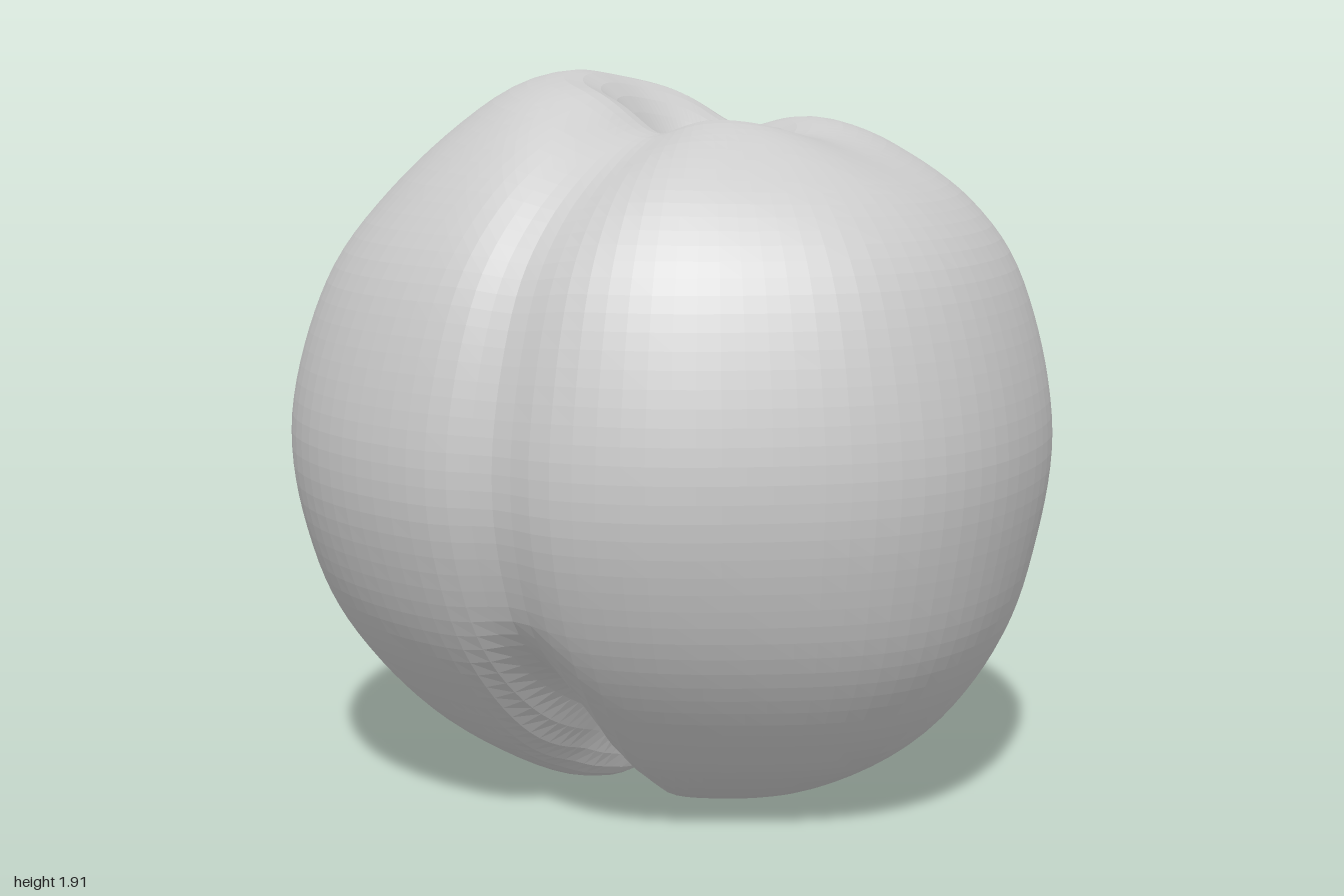
import * as THREE from 'three';

const { smoothstep } = THREE.MathUtils;
const SEGMENTS = 96, RINGS = 72;

// radius fraction and height, from the stem dimple over the rim to the base
const PROFILE = [
  [0, 1.58], [0.08, 1.6], [0.14, 1.7], [0.23, 1.8], [0.35, 1.83], [0.52, 1.77], [0.75, 1.59],
  [0.91, 1.36], [1, 1], [0.96, 0.65], [0.87, 0.4], [0.7, 0.18], [0.47, 0.04], [0.27, 0], [0.1, 0.04], [0, 0.06],
].map(([r, y]) => new THREE.Vector2(r, y));

// angular bell around a direction
function bell(angle, centre, width) {
  const d = Math.atan2(Math.sin(angle - centre), Math.cos(angle - centre)) / width;
  return Math.exp(-d * d);
}

function skinPoint(rho, y, angle) {
  const c = Math.cos(angle), s = Math.sin(angle);
  const crown = y > 1 ? 1 - smoothstep(rho, 0.4, 0.9) : 0;
  const lower = 1 - smoothstep(y, 0, 0.9);
  const fade = smoothstep(rho, 0, 0.35);

  // slightly squared, uneven oval outline, narrower front to back near the base
  let outline = Math.pow(Math.abs(c) ** 2.2 + Math.abs(s / 0.88) ** 2.2, -1 / 2.2);
  outline *= 1 + 0.03 * bell(angle, -0.65, 0.35) - 0.03 * bell(angle, 0.85, 0.3);
  let x = rho * outline * c, z = rho * outline * s * (1 - 0.13 * lower);

  // lopsided lobes: high on one side at the top, low on the other at the base
  const lobes = 0.055 * c + 0.035 * bell(angle, 0, 0.45) - 0.02 * bell(angle, Math.PI, 0.5);
  let h = y - fade * crown * lobes + fade * lower * 0.015 * (1 - c);

  // front and back clefts, pulled towards the core
  const width = (0.12 + 0.07 * crown) / Math.max(rho, 0.45);
  const notch = 1 - smoothstep(y, 0.05, 0.6);
  const front = bell(angle, Math.PI / 2 + 0.06 - 0.06 * crown, width) * (0.04 + 0.05 * crown)
    + bell(angle, Math.PI / 2 + 0.06, 0.1 / Math.max(rho, 0.5)) * 0.17 * notch;
  const back = bell(angle, -Math.PI / 2 + 0.12 * (1 - crown), width * 1.25) * (0.06 + 0.03 * crown + 0.05 * notch);
  const k = 1 - fade * (front + back);
  x *= k;
  z *= k;
  h = 0.95 + (h - 0.95) * k;

  // dimple sits off centre and opens to the back; base drifts to the back
  const shift = y > 1 ? 1 - rho : 0;
  z -= shift * (0.03 + 0.06 * fade * Math.max(-s, 0)) + 0.06 * lower * lower;
  return [x + 0.1 * shift, h, z];
}

function skinGeometry() {
  const positions = [], index = [];
  const profile = new THREE.SplineCurve(PROFILE).getSpacedPoints(RINGS);
  profile.forEach((p, i) => {
    for (let j = 0; j < SEGMENTS; j++) {
      positions.push(...skinPoint(Math.max(p.x, 0), p.y, (j / SEGMENTS) * Math.PI * 2));
      if (i === RINGS) continue;
      const a = i * SEGMENTS + j, b = i * SEGMENTS + ((j + 1) % SEGMENTS);
      if (i > 0) index.push(a, b, a + SEGMENTS);
      if (i < RINGS - 1) index.push(b, b + SEGMENTS, a + SEGMENTS);
    }
  });
  const geometry = new THREE.BufferGeometry();
  geometry.setAttribute('position', new THREE.Float32BufferAttribute(positions, 3));
  geometry.setIndex(index);
  geometry.computeVertexNormals();
  return geometry;
}

export function createModel() {
  const model = new THREE.Group();
  model.name = 'fruit';
  const material = new THREE.MeshStandardMaterial({ color: 0xcccccc, flatShading: true });

  const skin = new THREE.Mesh(skinGeometry(), material);
  skin.name = 'fruitSkin';
  model.add(skin);

  // ragged remains of the stem inside the dimple
  const stem = new THREE.Group();
  stem.name = 'stemRemains';
  stem.position.set(0.11, 1.61, -0.04);
  const core = new THREE.Mesh(new THREE.CylinderGeometry(0.05, 0.08, 0.08, 5), material);
  core.name = 'stemCore';
  stem.add(core);
  for (let i = 0; i < 5; i++) {
    const a = i * 1.26 + 0.3;
    const shard = new THREE.Mesh(new THREE.BoxGeometry(0.09, 0.012, 0.06), material);
    shard.name = 'stemShard';
    shard.position.set(Math.cos(a) * 0.045, 0.035 + 0.012 * (i % 3), Math.sin(a) * 0.07);
    shard.rotation.set(0.3 * (i % 2), -a, 0.35 - 0.2 * (i % 3));
    stem.add(shard);
  }
  model.add(stem);
  return model;
}
